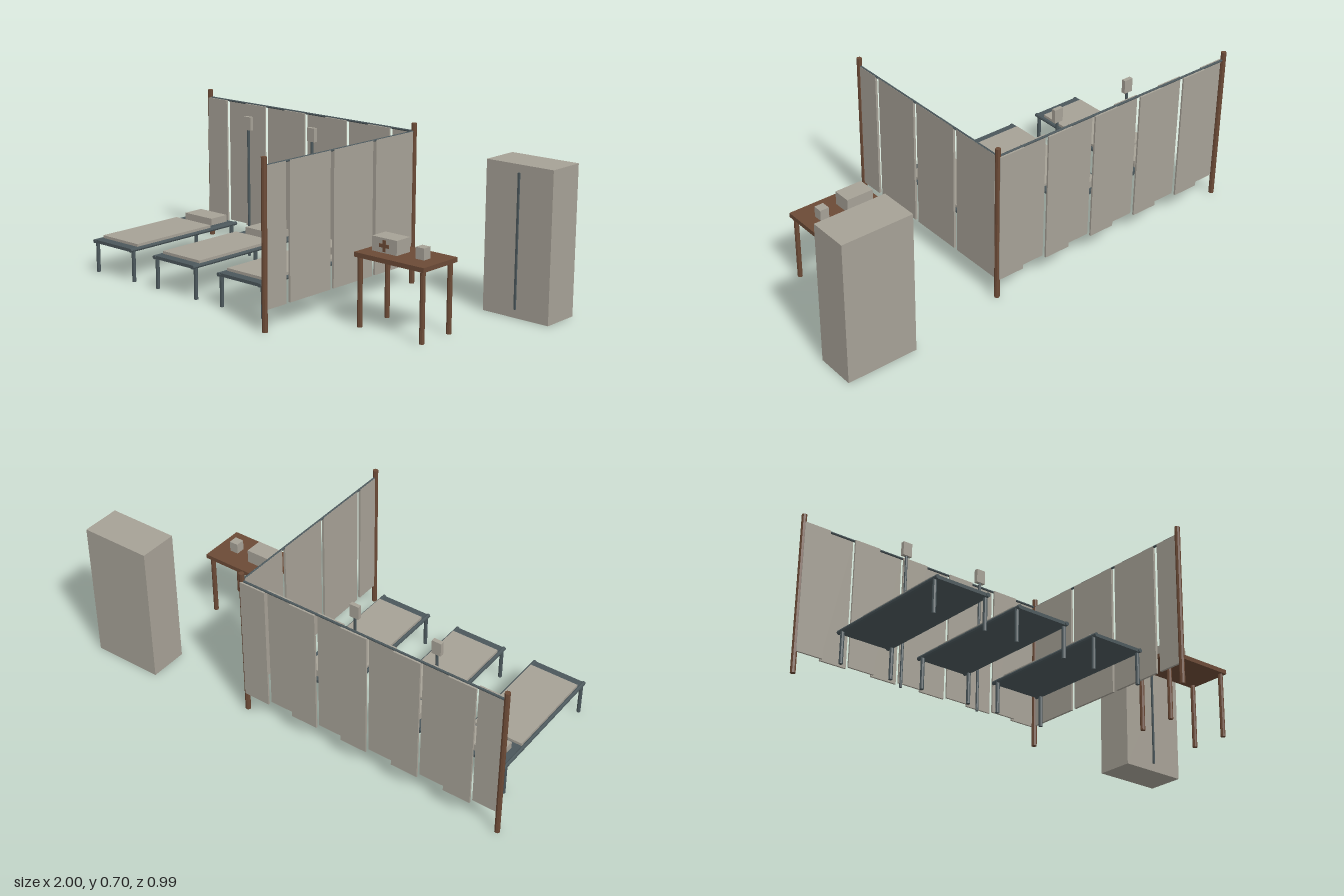
import * as THREE from 'three';

const material = (name, color) => {
  const m = new THREE.MeshStandardMaterial({ color, flatShading: true });
  m.name = name;
  return m;
};

export function createModel() {
  const model = new THREE.Group();
  model.name = 'fieldWard';
  const canvas = material('canvas', 0xa6a196);
  const wood = material('wood', 0x6b4a36);
  const steel = material('steel', 0x4b575b);

  const group = (name, x = 0, y = 0, z = 0) => {
    const g = new THREE.Group();
    g.name = name;
    g.position.set(x, y, z);
    model.add(g);
    return g;
  };
  const add = (parent, name, geometry, mat, x, y, z) => {
    const mesh = new THREE.Mesh(geometry, mat);
    mesh.name = name;
    mesh.position.set(x, y, z);
    parent.add(mesh);
    return mesh;
  };
  // Box given by its extents on each axis
  const box = (parent, name, mat, [x0, x1], [y0, y1], [z0, z1]) =>
    add(parent, name, new THREE.BoxGeometry(x1 - x0, y1 - y0, z1 - z0), mat,
      (x0 + x1) / 2, (y0 + y1) / 2, (z0 + z1) / 2);
  // Upright round pole
  const pole = (parent, name, mat, r, x, z, y0, y1) =>
    add(parent, name, new THREE.CylinderGeometry(r, r, y1 - y0, 8), mat, x, (y0 + y1) / 2, z);

  // Partition posts and rails
  const left = -0.988, right = 0.23, back = -0.426, front = 0.483;
  const screen = group('partition');
  for (const [x, z] of [[left, back], [right, back], [right, front]])
    pole(screen, 'post', wood, 0.0115, x, z, 0, 0.698);
  const rail = (length, x, z) =>
    add(screen, 'curtainRail', new THREE.CylinderGeometry(0.005, 0.005, length, 8), steel, x, 0.662, z);
  rail(right - left, (left + right) / 2, back).rotation.z = Math.PI / 2;
  rail(front - back, right, (front + back) / 2).rotation.x = Math.PI / 2;

  // Back curtain: ten strips, alternately before and behind the rail
  const pitch = (right - left) / 10;
  for (let i = 0; i < 10; i++) {
    const x = left + i * pitch, z = back + (i % 2 ? -0.01 : 0.01);
    box(screen, 'backCurtainStrip', canvas, [x, x + pitch], [0.09, 0.662], [z - 0.004, z + 0.004]);
  }
  // Side curtain: spaced strips, the front one narrower
  for (const span of [[-0.413, -0.175], [-0.155, 0.085], [0.106, 0.343], [0.365, 0.48]])
    box(screen, 'sideCurtainStrip', canvas, [right - 0.005, right + 0.005], [0.09, 0.664], span);

  // Beds
  for (const x of [-0.78, -0.397, -0.013]) {
    const bed = group('bed', x);
    box(bed, 'bedBase', steel, [-0.115, 0.115], [0.134, 0.148], [-0.254, 0.377]);
    box(bed, 'mattress', canvas, [-0.111, 0.111], [0.146, 0.16], [-0.104, 0.334]);
    box(bed, 'pillow', canvas, [-0.084, 0.084], [0.147, 0.179], [-0.234, -0.136]);
    for (const s of [-1, 1]) {
      const sideRail = add(bed, 'sideRail', new THREE.CylinderGeometry(0.009, 0.009, 0.642, 8),
        steel, s * 0.116, 0.141, 0.06);
      sideRail.rotation.x = Math.PI / 2;
      for (const z of [-0.232, 0.361]) pole(bed, 'bedLeg', steel, 0.0085, s * 0.116, z, 0, 0.141);
    }
  }

  // Drip stands
  for (const x of [-0.588, -0.206]) {
    const stand = group('dripStand', x, 0, -0.27);
    pole(stand, 'standPole', steel, 0.006, 0, 0, 0, 0.6);
    box(stand, 'dripBag', canvas, [-0.021, 0.021], [0.582, 0.642], [-0.009, 0.009]);
  }

  // Table
  const table = group('table');
  box(table, 'tableTop', wood, [0.442, 0.786], [0.288, 0.307], [-0.007, 0.202]);
  for (const x of [0.458, 0.768])
    for (const z of [0.015, 0.183]) pole(table, 'tableLeg', wood, 0.0105, x, z, 0, 0.29);

  // Medical box with a cross on its front, and a small jar
  const kit = group('medicalBox', 0.542, 0.307, 0.098);
  box(kit, 'caseBody', canvas, [-0.062, 0.062], [0, 0.06], [-0.041, 0.041]);
  box(kit, 'crossUpright', wood, [-0.007, 0.007], [0.005, 0.052], [0.041, 0.044]);
  for (const s of [-1, 1])
    box(kit, 'crossArm', wood, s < 0 ? [-0.024, -0.007] : [0.007, 0.024], [0.022, 0.036], [0.041, 0.044]);
  box(table, 'jar', canvas, [0.679, 0.72], [0.307, 0.354], [0.077, 0.118]);

  // Cabinet with a long vertical handle
  const cabinet = group('cabinet');
  box(cabinet, 'cabinetBody', canvas, [0.684, 1], [0, 0.628], [-0.494, -0.321]);
  box(cabinet, 'cabinetHandle', steel, [0.838, 0.846], [0.036, 0.595], [-0.322, -0.314]);

  return model;
}
